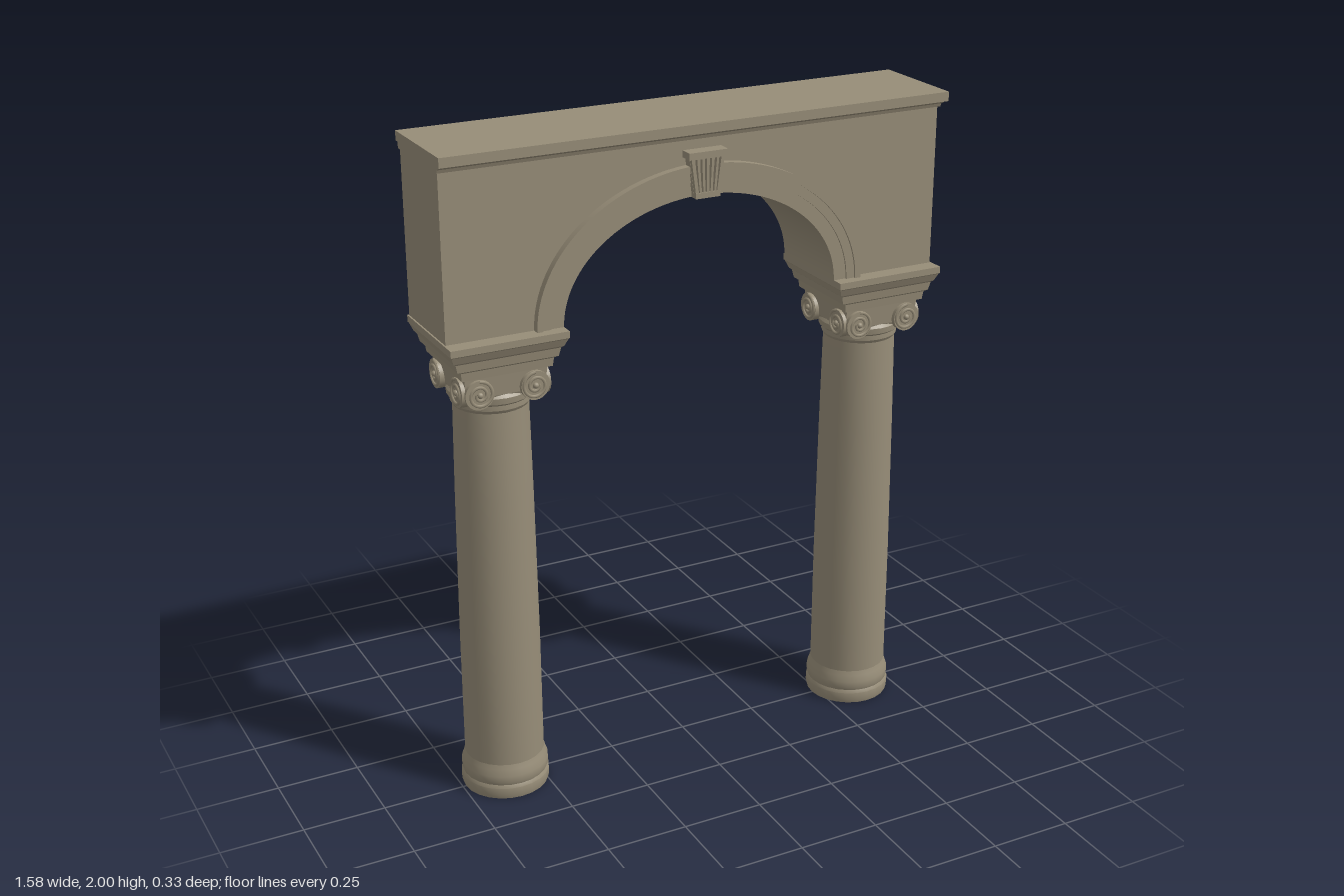
import * as THREE from 'three';
import { toCreasedNormals } from 'three/addons/utils/BufferGeometryUtils.js';

const stone = new THREE.MeshStandardMaterial({ color: 0x978d78 });
stone.name = 'stone';

const SPRING = 1.47; // height where the arch starts
const COLUMN_X = 0.61;
const WALL_FRONT = 0.116;

function add(parent, name, geometry, x = 0, y = 0, z = 0) {
  const mesh = new THREE.Mesh(geometry, stone);
  mesh.name = name;
  mesh.position.set(x, y, z);
  parent.add(mesh);
  return mesh;
}

const polygon = (points) => new THREE.Shape(points.map(([x, y]) => new THREE.Vector2(x, y)));

function extrude(shape, depth, curveSegments = 32) {
  const g = new THREE.ExtrudeGeometry(shape, { depth, curveSegments, bevelEnabled: false });
  return toCreasedNormals(g, 0.4);
}

function turned(points, sides = 24) {
  const g = new THREE.LatheGeometry(points.map(([r, y]) => new THREE.Vector2(r, y)), sides);
  return toCreasedNormals(g, 0.5);
}

// Square moulding: each level gives half width, half depth and height
function squareMoulding(levels) {
  const pos = [];
  const ring = ([w, d, y]) => [[-w, y, d], [w, y, d], [w, y, -d], [-w, y, -d]];
  const quad = (a, b, c, d) => pos.push(...a, ...b, ...c, ...a, ...c, ...d);
  const rings = levels.map(ring);
  for (let i = 0; i < rings.length - 1; i++) {
    for (let k = 0; k < 4; k++) {
      const n = (k + 1) % 4;
      quad(rings[i][k], rings[i][n], rings[i + 1][n], rings[i + 1][k]);
    }
  }
  const bottom = rings[0], top = rings[rings.length - 1];
  quad(bottom[3], bottom[2], bottom[1], bottom[0]);
  quad(top[0], top[1], top[2], top[3]);
  const g = new THREE.BufferGeometry();
  g.setAttribute('position', new THREE.Float32BufferAttribute(pos, 3));
  g.computeVertexNormals();
  return g;
}

// Scroll facing +z: a disc with a raised spiral
function createVolute(mirror) {
  const volute = new THREE.Group();
  volute.name = 'volute';
  const disc = new THREE.CylinderGeometry(0.043, 0.043, 0.03, 24).rotateX(Math.PI / 2);
  add(volute, 'voluteDisc', disc, 0, 0, -0.015);
  const path = [];
  for (let i = 0; i <= 28; i++) {
    const t = i / 28, r = 0.04 - 0.03 * t;
    const a = Math.PI / 2 + t * Math.PI * 3.6;
    path.push(new THREE.Vector3(mirror * r * Math.cos(a), r * Math.sin(a), 0));
  }
  const spiral = new THREE.TubeGeometry(new THREE.CatmullRomCurve3(path), 56, 0.005, 6);
  add(volute, 'voluteSpiral', spiral);
  add(volute, 'voluteEye', new THREE.SphereGeometry(0.009, 10, 8));
  return volute;
}

function createColumn() {
  const column = new THREE.Group();
  column.name = 'column';
  add(column, 'base', turned([
    [0, 0], [0.13, 0], [0.133, 0.012], [0.133, 0.035], [0.128, 0.045], [0.131, 0.055],
    [0.131, 0.075], [0.124, 0.095], [0.12, 0.11],
  ]));
  add(column, 'shaft', turned([[0.12, 0.1], [0.119, 0.5], [0.114, 0.95], [0.109, 1.25]]));
  add(column, 'neckRing', turned([
    [0.109, 1.24], [0.115, 1.25], [0.115, 1.265], [0.124, 1.272], [0.126, 1.29], [0.118, 1.3],
  ]));
  add(column, 'capitalBlock', squareMoulding([
    [0.112, 0.112, 1.285], [0.118, 0.118, 1.3], [0.124, 0.124, 1.37],
  ]));
  // Scrolls on the front and both sides
  for (const angle of [0, Math.PI / 2, -Math.PI / 2]) {
    const face = new THREE.Group();
    face.name = 'voluteFace';
    face.rotation.y = angle;
    for (const s of [-1, 1]) {
      const volute = createVolute(s);
      volute.position.set(s * 0.083, 1.315, 0.133);
      face.add(volute);
    }
    column.add(face);
  }
  // Stepped impost carrying the arch
  add(column, 'impost', squareMoulding([
    [0.135, 0.135, 1.365], [0.138, 0.138, 1.39], [0.15, 0.144, 1.395], [0.156, 0.148, 1.42],
    [0.163, 0.153, 1.425], [0.172, 0.163, 1.447], [0.175, 0.166, 1.45], [0.175, 0.166, SPRING],
  ]));
  return column;
}

// Half-elliptical band around the opening
function archBand(inner, outer, depth) {
  const s = new THREE.Shape();
  s.moveTo(-outer[0], SPRING);
  s.absellipse(0, SPRING, outer[0], outer[1], Math.PI, 0, true);
  s.lineTo(inner[0], SPRING);
  s.absellipse(0, SPRING, inner[0], inner[1], 0, Math.PI, false);
  return extrude(s, depth);
}

function createKeystone() {
  const keystone = new THREE.Group();
  keystone.name = 'keystone';
  const z = WALL_FRONT - 0.01;
  add(keystone, 'keystoneBody', extrude(polygon([
    [-0.037, 1.788], [0.037, 1.788], [0.053, 1.905], [-0.053, 1.905],
  ]), 0.036), 0, 0, z);
  add(keystone, 'keystoneCap', new THREE.BoxGeometry(0.12, 0.02, 0.052), 0, 1.911, z + 0.026);
  add(keystone, 'keystoneFoot', new THREE.BoxGeometry(0.077, 0.016, 0.05), 0, 1.796, z + 0.025);
  // Fanned ribs between the flutes
  for (let i = -3; i <= 3; i++) {
    const c = i / 3, w = Math.abs(i) === 3 ? 0.005 : 0.0035;
    const lo = c * 0.033, hi = c * 0.047;
    add(keystone, 'keystoneRib', extrude(polygon([
      [lo - w, 1.8], [lo + w, 1.8], [hi + w, 1.903], [hi - w, 1.903],
    ]), 0.048), 0, 0, z);
  }
  return keystone;
}

export function createModel() {
  const model = new THREE.Group();
  model.name = 'archway';

  for (const s of [-1, 1]) {
    const column = createColumn();
    column.position.x = s * COLUMN_X;
    model.add(column);
  }

  // Wall with the arched opening
  const wall = new THREE.Shape();
  wall.moveTo(-0.78, SPRING);
  wall.lineTo(-0.435, SPRING);
  wall.absellipse(0, SPRING, 0.435, 0.32, Math.PI, 0, true);
  wall.lineTo(0.78, SPRING);
  wall.lineTo(0.78, 1.96);
  wall.lineTo(-0.78, 1.96);
  add(model, 'archWall', extrude(wall, WALL_FRONT + 0.162), 0, 0, -0.162);

  // Stepped archivolt on the front
  const edges = [[0.435, 0.32], [0.475, 0.362], [0.502, 0.39], [0.52, 0.41]];
  [0.012, 0.017, 0.023].forEach((depth, i) => {
    add(model, 'archivoltBand', archBand(edges[i], edges[i + 1], depth), 0, 0, WALL_FRONT);
  });
  model.add(createKeystone());

  // Cornice, with its profile drawn in -z and y
  const lower = extrude(polygon([
    [0.164, 1.95], [0.164, 1.975], [-0.147, 1.975], [-0.14, 1.966], [-0.128, 1.96], [-0.124, 1.95],
  ]), 1.57).rotateY(Math.PI / 2);
  add(model, 'corniceMoulding', lower, -0.785);
  add(model, 'corniceTop', new THREE.BoxGeometry(1.58, 0.028, 0.322), 0, 1.986, -0.004);

  return model;
}
